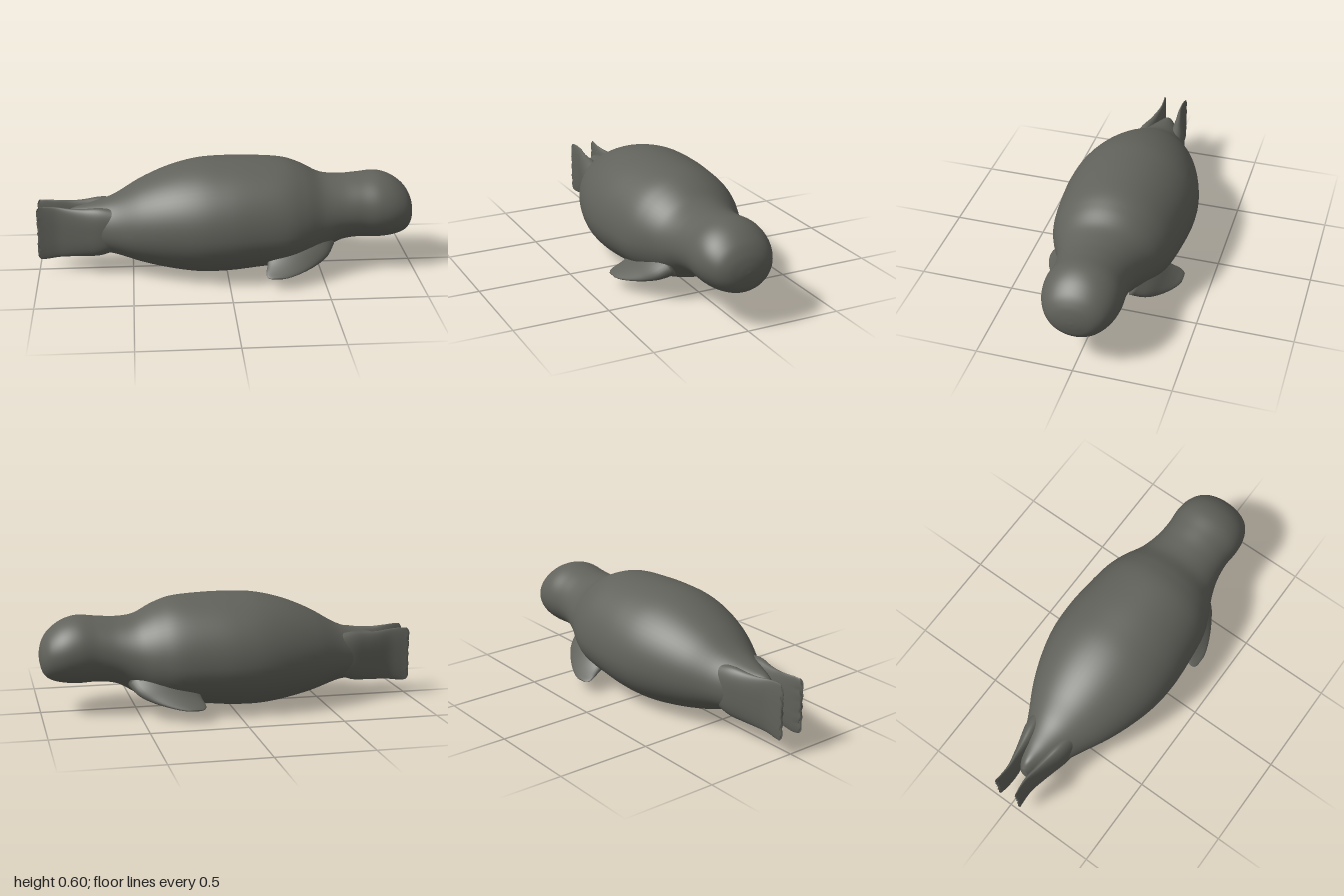
import * as THREE from 'three';

const TAU = Math.PI * 2;
const fur = new THREE.MeshStandardMaterial({ color: 0x62625c });
fur.name = 'dark grey fur';

// Smoothly resample rows of station values [a, b, c, ...]
function resample(rows, steps) {
  const column = (k) => new THREE.CatmullRomCurve3(
    rows.map((r) => new THREE.Vector3(r[k], 0, 0)), false, 'catmullrom');
  const curves = rows[0].map((_, k) => column(k));
  return Array.from({ length: steps + 1 }, (_, i) => curves.map((c) => c.getPoint(i / steps).x));
}

// Closed smooth skin over rings of points, capped at both ends
function loft(rings) {
  const n = rings[0].length;
  const pos = rings.flat().flatMap((p) => [p.x, p.y, p.z]);
  const idx = [];
  for (let i = 0; i < rings.length - 1; i++) {
    for (let j = 0; j < n; j++) {
      const a = i * n + j, b = i * n + (j + 1) % n;
      idx.push(a, b, a + n, b, b + n, a + n);
    }
  }
  for (const end of [0, rings.length - 1]) {
    const mid = rings[end].reduce((s, p) => s.add(p), new THREE.Vector3()).divideScalar(n);
    const c = pos.length / 3;
    pos.push(mid.x, mid.y, mid.z);
    for (let j = 0; j < n; j++) {
      const a = end * n + j, b = end * n + (j + 1) % n;
      if (end === 0) idx.push(c, b, a); else idx.push(c, a, b);
    }
  }
  // Turn the skin outward when its enclosed volume is negative
  const at = (i) => new THREE.Vector3().fromArray(pos, i * 3);
  let volume = 0;
  for (let i = 0; i < idx.length; i += 3) volume += at(idx[i]).dot(at(idx[i + 1]).cross(at(idx[i + 2])));
  if (volume < 0) idx.reverse();
  const g = new THREE.BufferGeometry();
  g.setAttribute('position', new THREE.Float32BufferAttribute(pos, 3));
  g.setIndex(idx);
  g.computeVertexNormals();
  return g;
}

const ring = (n, fn) => Array.from({ length: n }, (_, j) => fn(Math.cos(j / n * TAU), Math.sin(j / n * TAU)));

function part(name, geometry) {
  const m = new THREE.Mesh(geometry, fur);
  m.name = name;
  return m;
}

// Trunk, neck and head: x, top, bottom, half width, height of widest point
function makeBody() {
  const stations = [
    [-0.86, 0.30, 0.17, 0.02, 0.235], [-0.82, 0.345, 0.125, 0.05, 0.235],
    [-0.73, 0.37, 0.11, 0.105, 0.235], [-0.6, 0.41, 0.10, 0.17, 0.24],
    [-0.45, 0.495, 0.055, 0.25, 0.26], [-0.3, 0.558, 0.022, 0.308, 0.27],
    [-0.15, 0.595, 0.003, 0.345, 0.27], [0, 0.604, 0.005, 0.355, 0.27],
    [0.15, 0.602, 0.02, 0.345, 0.27], [0.3, 0.59, 0.035, 0.325, 0.27],
    [0.4, 0.557, 0.055, 0.29, 0.28], [0.5, 0.507, 0.09, 0.24, 0.29],
    [0.6, 0.495, 0.145, 0.207, 0.31], [0.7, 0.502, 0.16, 0.195, 0.325],
    [0.8, 0.51, 0.157, 0.2, 0.33], [0.88, 0.487, 0.164, 0.188, 0.325],
    [0.945, 0.44, 0.182, 0.155, 0.315], [0.98, 0.39, 0.215, 0.11, 0.305],
    [0.995, 0.345, 0.26, 0.055, 0.3], [1, 0.305, 0.299, 0.004, 0.302],
  ];
  return loft(resample(stations, 110).map(([x, top, bottom, w, mid]) =>
    ring(64, (c, s) => new THREE.Vector3(x, mid + s * (s > 0 ? top - mid : mid - bottom), w * c))));
}

// Front flipper sweeping out, down and back: x, y, z, half chord, half thickness
function makeFrontFlipper(side) {
  const stations = [
    [0.38, 0.175, 0.17, 0.18, 0.075], [0.36, 0.135, 0.235, 0.16, 0.052],
    [0.325, 0.104, 0.285, 0.13, 0.031], [0.285, 0.083, 0.325, 0.1, 0.016],
    [0.255, 0.069, 0.352, 0.065, 0.009], [0.243, 0.064, 0.364, 0.035, 0.004],
  ];
  return loft(resample(stations, 24).map(([x, y, z, chord, thick]) =>
    ring(32, (c, s) => new THREE.Vector3(x + chord * c, y + thick * s * 0.88, side * (z + thick * s * 0.47)))));
}

// Hind flipper, an upright paddle: x, z, half thickness, bottom, top
function makeHindFlipper(side) {
  const stations = [
    [-0.55, 0.1, 0.05, 0.16, 0.36], [-0.66, 0.09, 0.05, 0.115, 0.375],
    [-0.75, 0.076, 0.038, 0.104, 0.368], [-0.82, 0.066, 0.027, 0.1, 0.367],
    [-0.89, 0.056, 0.018, 0.094, 0.374], [-0.95, 0.058, 0.012, 0.086, 0.379],
    [-0.985, 0.064, 0.007, 0.088, 0.377],
  ];
  const steps = 30;
  return loft(resample(stations, steps).map(([x, z, thick, lo, hi], i) =>
    ring(80, (c, s) => {
      const h = Math.sign(s) * Math.abs(s) ** 0.75;
      // Five rounded toes along the trailing edge
      const toe = Math.abs(Math.sin((h + 1) * 2.5 * Math.PI)) ** 0.7;
      const x2 = x - 0.015 * toe * (i / steps) ** 8;
      return new THREE.Vector3(x2, (lo + hi) / 2 + h * (hi - lo) / 2, side * (z + thick * c));
    })));
}

export function createModel() {
  const seal = new THREE.Group();
  seal.name = 'seal';
  seal.add(part('body', makeBody()));
  for (const [side, label] of [[1, 'Front'], [-1, 'Back']]) {
    seal.add(part('foreFlipper' + label, makeFrontFlipper(side)));
    seal.add(part('hindFlipper' + label, makeHindFlipper(side)));
  }
  return seal;
}
